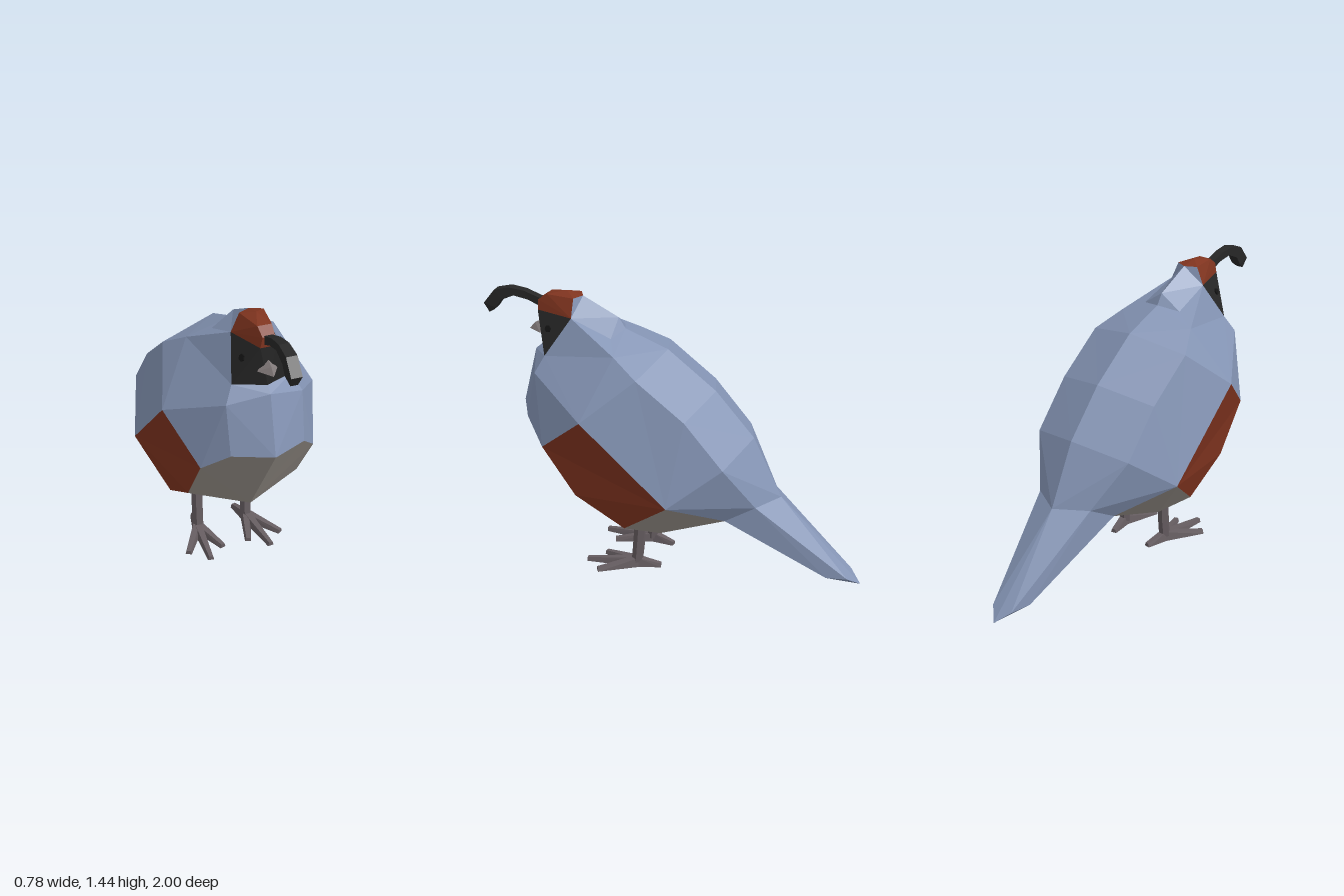
import * as THREE from 'three';
import { ConvexGeometry } from 'three/addons/geometries/ConvexGeometry.js';
import { mergeGeometries } from 'three/addons/utils/BufferGeometryUtils.js';

const material = (name, color) => {
  const m = new THREE.MeshStandardMaterial({ color, flatShading: true });
  m.name = name;
  return m;
};
const mirror = ([x, y, z]) => [-x, y, z];

// Named corners of the left half (x >= 0)
const P = {
  // back ridge, from tail root to neck
  T1: [0, 0.45, -0.57], T2: [0, 0.76, -0.42], T3: [0, 0.99, -0.22], T4: [0, 1.185, 0.03], T5: [0, 1.27, 0.25], T6: [0, 1.325, 0.285],
  // upper sides
  R: [0.165, 0.455, -0.475], U1: [0.29, 0.7, -0.335], U2: [0.29, 0.93, -0.14], U3: [0.29, 1.12, 0.105], N2: [0.22, 1.2, 0.24], N: [0.11, 1.25, 0.29],
  // widest sides and lower sides
  S1: [0.39, 0.5, -0.075], S2: [0.39, 0.905, 0.365], L1: [0.29, 0.3, 0.175], L2: [0.29, 0.45, 0.435], L3: [0.29, 0.7, 0.605],
  V: [0.19, 0.37, -0.325], Q1: [0.21, 0.255, 0.01],
  // belly centre line and chest
  B0: [0, 0.29, -0.25], B1: [0, 0.19, 0.015], B2: [0, 0.24, 0.26], B3: [0, 0.38, 0.53], B4: [0, 0.815, 0.81],
  G: [0.185, 0.81, 0.72], C: [0.19, 1.055, 0.67], CT: [0, 1.11, 0.735],
  // head
  NF: [0, 1.14, 0.7], K: [0.148, 1.135, 0.63], M: [0.1, 1.33, 0.5], F: [0.04, 1.335, 0.7], F2: [0.03, 1.385, 0.7],
  W: [0.035, 1.42, 0.65], J: [0.06, 1.42, 0.5], H: [0, 1.42, 0.47], X: [0, 1.44, 0.555],
  // tail end
  E1: [0.06, 0.06, -0.94], E2: [0.085, 0.065, -0.835], E3: [0, 0.03, -0.88], TIP: [0, 0.01, -1],
};

// Mirrored facets, each turned to face away from an inner point
function facets(name, mat, centre, faces) {
  const pos = [];
  const c = new THREE.Vector3(...centre);
  for (const face of faces) {
    const half = face.split(' ').map((k) => P[k]);
    for (const pts of [half, half.map(mirror)]) {
      const v = pts.map((p) => new THREE.Vector3(...p));
      for (let i = 1; i < v.length - 1; i++) {
        const t = new THREE.Triangle(v[0], v[i], v[i + 1]);
        const out = t.getNormal(new THREE.Vector3()).dot(t.getMidpoint(new THREE.Vector3()).sub(c)) > 0;
        for (const q of out ? [t.a, t.b, t.c] : [t.a, t.c, t.b]) pos.push(q.x, q.y, q.z);
      }
    }
  }
  const g = new THREE.BufferGeometry();
  g.setAttribute('position', new THREE.Float32BufferAttribute(pos, 3));
  g.computeVertexNormals();
  const mesh = new THREE.Mesh(g, mat);
  mesh.name = name;
  return mesh;
}

const hull = (pts) => new ConvexGeometry(pts.map((p) => new THREE.Vector3(...p)));
const solid = (name, mat, ...geos) => {
  const mesh = new THREE.Mesh(geos.length > 1 ? mergeGeometries(geos) : geos[0], mat);
  mesh.name = name;
  return mesh;
};

export function createModel() {
  const blue = material('slate blue feathers', 0x8595b5);
  const grey = material('warm grey belly', 0x98918a);
  const rust = material('rust feathers', 0x80341f);
  const black = material('black mask', 0x262626);
  const dark = material('eye black', 0x141414);
  const horn = material('beak grey', 0x857d7d);
  const legGrey = material('leg grey', 0x665d61);

  const bird = new THREE.Group();
  bird.name = 'crestedBird';
  const body = [0, 0.68, 0.15], tail = [0, 0.2, -0.65], head = [0, 1.18, 0.5];

  bird.add(
    facets('back', blue, body, ['T1 R U1 T2', 'T2 U1 U2 T3', 'T3 U2 U3 T4', 'T4 U3 N2 T5', 'T5 N2 N', 'S1 S2 U3 U2 U1', 'S1 U1 R V']),
    facets('breast', blue, body, ['N2 U3 S2', 'K N2 S2', 'K S2 C', 'C S2 L3 G', 'C G B4 CT', 'K C CT NF']),
    facets('neck', blue, head, ['T5 N T6', 'M J H T6 N', 'M N N2', 'M N2 K']),
    facets('flanks', rust, body, ['S1 S2 L3 L2 L1']),
    facets('belly', grey, body, ['S1 V Q1 L1', 'V B0 B1 Q1', 'L1 Q1 B1 B2', 'L1 B2 B3 L2', 'B3 L2 L3 G B4']),
    facets('tailTop', blue, tail, ['T1 TIP E1 R', 'R E1 E2 V', 'E1 TIP E2']),
    facets('tailUnderside', grey, tail, ['V E2 E3 B0', 'E2 TIP E3']),
    facets('faceMask', black, head, ['K F M', 'K NF F', 'NF F F']),
  );

  // Centre of the mask between its two halves
  bird.add(solid('maskFront', black, hull([P.NF, P.F, mirror(P.F), [0, 1.14, 0.66], [0.03, 1.335, 0.66], [-0.03, 1.335, 0.66]])));

  // Cap
  const cap = ['M', 'F', 'F2', 'W', 'J'].map((k) => P[k]);
  bird.add(solid('cap', rust, hull([...cap, ...cap.map(mirror), P.H, P.X])));

  // Beak: upper and lower halves
  bird.add(
    solid('upperBeak', horn, hull([[0, 1.275, 0.69], [0.05, 1.215, 0.69], [-0.05, 1.215, 0.69], [0, 1.25, 0.735], [0, 1.215, 0.765]])),
    solid('lowerBeak', legGrey, hull([[0.035, 1.215, 0.69], [-0.035, 1.215, 0.69], [0, 1.19, 0.69], [0, 1.213, 0.75]])),
  );

  // Plume: rows of [half width, top y, top z, bottom y, bottom z]
  const plume = [
    [0.02, 1.385, 0.68, 1.34, 0.68], [0.022, 1.42, 0.78, 1.375, 0.76], [0.025, 1.43, 0.86, 1.39, 0.835],
    [0.027, 1.41, 0.94, 1.36, 0.905], [0.027, 1.335, 1.0, 1.315, 0.935], [0.018, 1.285, 0.975, 1.3, 0.95],
  ].map(([w, ty, tz, by, bz]) => [[w, ty, tz], [-w, ty, tz], [w, by, bz], [-w, by, bz]]);
  bird.add(solid('plume', black, ...plume.slice(1).map((row, i) => hull([...plume[i], ...row]))));

  // A tapered toe from the ankle to its tip
  const toe = (x, z, tx, tz) => {
    const d = new THREE.Vector2(tx - x, tz - z).normalize();
    const across = (px, pz, y, w) => [[px + d.y * w, y, pz - d.x * w], [px - d.y * w, y, pz + d.x * w]];
    return hull([...across(x, z, 0, 0.026), ...across(x, z, 0.05, 0.018), ...across(tx, tz, 0, 0.016), ...across(tx, tz, 0.02, 0.01)]);
  };

  for (const [side, s] of [['left', 1], ['right', -1]]) {
    // Leg: six-sided, leaning slightly back to the body
    const ring = (y, z, r) => Array.from({ length: 6 }, (_, i) => {
      const a = (i * Math.PI) / 3;
      return [s * 0.135 + Math.cos(a) * r, y, z + Math.sin(a) * r];
    });
    bird.add(solid(side + 'Leg', legGrey, hull([...ring(0.32, 0.135, 0.03), ...ring(0.12, 0.145, 0.027), ...ring(0.02, 0.16, 0.03)])));

    // Foot: three toes forward and one back
    const tips = [[0.255, 0.34], [0.165, 0.425], [0.07, 0.35], [0.115, 0.035]];
    bird.add(solid(side + 'Foot', legGrey, ...tips.map(([x, z]) => toe(s * 0.137, 0.155, s * x, z))));

    // Eye: thin disc on the mask
    const eye = solid(side + 'Eye', dark, new THREE.CylinderGeometry(0.018, 0.018, 0.009, 6));
    eye.position.set(s * 0.097, 1.261, 0.626);
    eye.quaternion.setFromUnitVectors(new THREE.Vector3(0, 1, 0), new THREE.Vector3(s * 0.88, 0.4, 0.26).normalize());
    bird.add(eye);
  }
  return bird;
}
